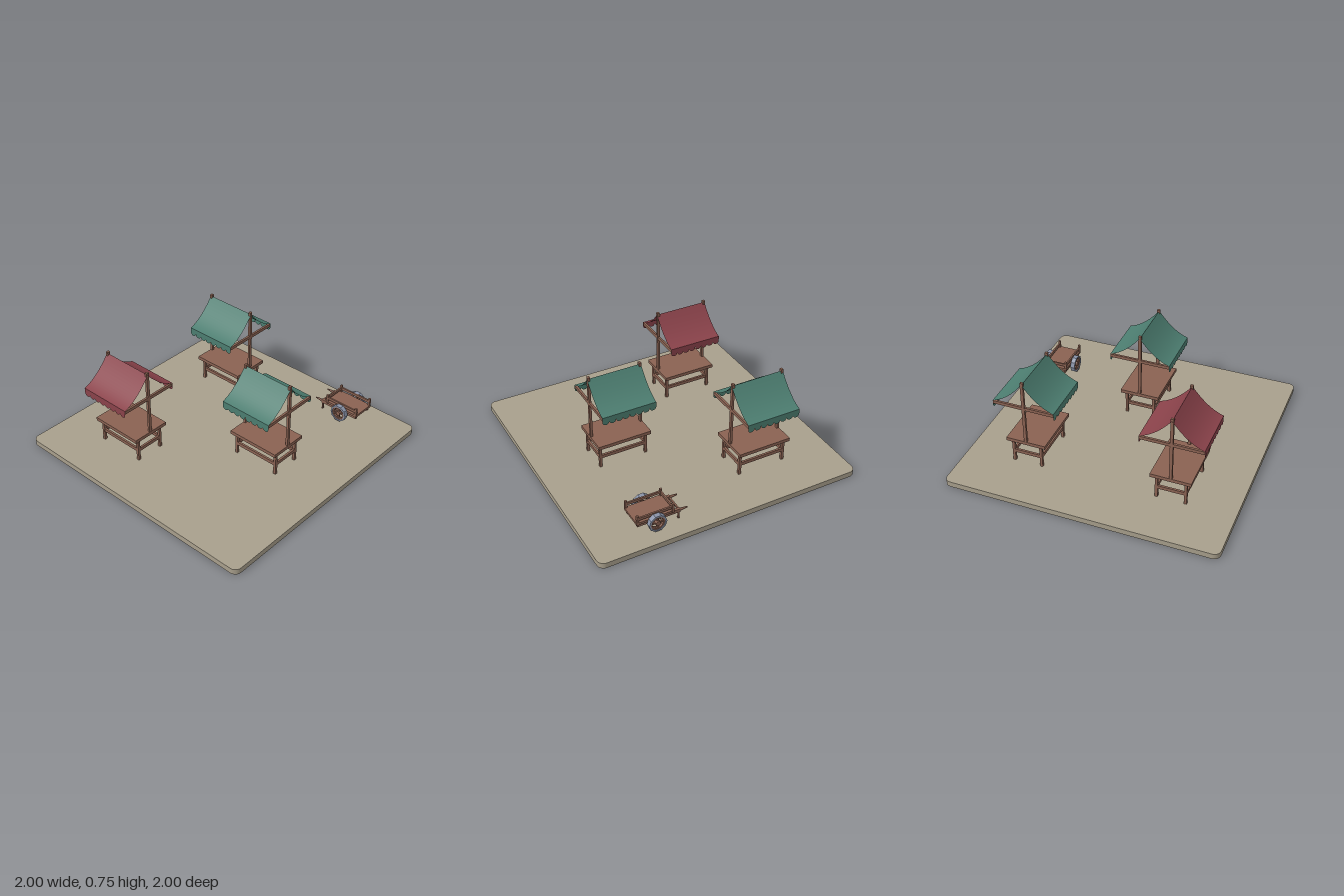
import * as THREE from 'three';

const mat = (color, side = THREE.FrontSide) => new THREE.MeshStandardMaterial({ color, side });
const wood = mat(0x8a6252);
const stone = mat(0xa89f8c);
const metal = mat(0x8a93a8);
const green = mat(0x4c7d70, THREE.DoubleSide);
const red = mat(0x8a424a, THREE.DoubleSide);

function add(parent, name, geometry, material, x = 0, y = 0, z = 0) {
  const mesh = new THREE.Mesh(geometry, material);
  mesh.name = name;
  mesh.position.set(x, y, z);
  parent.add(mesh);
  return mesh;
}

const box = (parent, name, w, h, d, x, y, z) =>
  add(parent, name, new THREE.BoxGeometry(w, h, d), wood, x, y, z);

// Square slab with rounded corners
function ground(parent) {
  const r = 0.05, e = 1 - r;
  const s = new THREE.Shape();
  s.absarc(e, e, r, 0, Math.PI / 2);
  s.absarc(-e, e, r, Math.PI / 2, Math.PI);
  s.absarc(-e, -e, r, Math.PI, Math.PI * 1.5);
  s.absarc(e, -e, r, Math.PI * 1.5, Math.PI * 2);
  const g = new THREE.ExtrudeGeometry(s, { depth: 0.042, bevelEnabled: false, curveSegments: 6 });
  add(parent, 'ground', g.rotateX(-Math.PI / 2), stone);
}

const EAVE = 0.228, HALF = 0.205, RIDGE_Y = 0.73, EAVE_Y = 0.547;

// One sagging cloth slope from ridge to eave
function clothSlope(side) {
  const g = new THREE.PlaneGeometry(1, HALF * 2, 14, 1).rotateX(-Math.PI / 2);
  const p = g.attributes.position;
  for (let i = 0; i < p.count; i++) {
    const x = p.getX(i) + 0.5;
    const t = side > 0 ? x : 1 - x;
    p.setX(i, side * t * EAVE);
    p.setY(i, THREE.MathUtils.lerp(RIDGE_Y, EAVE_Y, t) - 0.12 * t * (1 - t));
  }
  g.computeVertexNormals();
  return g;
}

// Hanging strip with a scalloped lower edge
function valance(side) {
  const count = 8, r = HALF / count, y = 0.511;
  const s = new THREE.Shape();
  s.moveTo(HALF, EAVE_Y);
  s.lineTo(-HALF, EAVE_Y);
  s.lineTo(-HALF, y);
  for (let i = 0; i < count; i++) s.absarc(-HALF + r * (2 * i + 1), y, r, Math.PI, Math.PI * 2, false);
  return new THREE.ShapeGeometry(s, 6).rotateY(side * Math.PI / 2).translate(side * EAVE, 0, 0);
}

function stall(parent, cloth, x, z) {
  const g = new THREE.Group();
  g.name = 'marketStall';
  g.position.set(x, 0, z);
  parent.add(g);
  box(g, 'tableTop', 0.296, 0.026, 0.41, 0, 0.232, 0);
  for (const s of [-1, 1]) {
    for (const t of [-1, 1]) box(g, 'tableLeg', 0.02, 0.18, 0.02, s * 0.105, 0.13, t * 0.178);
    box(g, 'sideStretcher', 0.016, 0.026, 0.34, s * 0.105, 0.127, 0);
    box(g, 'endStretcher', 0.195, 0.026, 0.016, 0, 0.127, s * 0.178);
    box(g, 'post', 0.022, 0.505, 0.018, 0, 0.4925, s * 0.195);
    box(g, 'crossArm', 0.455, 0.024, 0.016, 0, 0.531, s * 0.195);
    add(g, 'canopy', clothSlope(s), cloth);
    add(g, 'valance', valance(s), cloth);
  }
}

// Wheel lying in the xy plane, turned to face along x
function wheel(parent, x, y, z) {
  const g = new THREE.Group();
  g.name = 'wheel';
  g.position.set(x, y, z);
  g.rotation.y = Math.PI / 2;
  parent.add(g);
  const ring = (name, outer, inner, depth, material) => {
    const s = new THREE.Shape();
    const corner = (r, i) => [r * Math.cos(i * Math.PI / 5), r * Math.sin(i * Math.PI / 5)];
    const hole = new THREE.Path();
    for (let i = 0; i < 10; i++) {
      s[i ? 'lineTo' : 'moveTo'](...corner(outer, i));
      hole[i ? 'lineTo' : 'moveTo'](...corner(inner, -i));
    }
    s.holes.push(hole);
    const geo = new THREE.ExtrudeGeometry(s, { depth, bevelEnabled: false });
    add(g, name, geo.translate(0, 0, -depth / 2), material);
  };
  ring('tyre', 0.066, 0.054, 0.034, metal);
  ring('rim', 0.054, 0.042, 0.024, wood);
  for (let i = 0; i < 2; i++) {
    box(g, 'spoke', 0.09, 0.012, 0.012, 0, 0, 0).rotation.z = i * Math.PI / 2;
  }
  add(g, 'hub', new THREE.CylinderGeometry(0.018, 0.018, 0.034, 10).rotateX(Math.PI / 2), wood);
}

function cart(parent) {
  const g = new THREE.Group();
  g.name = 'handcart';
  g.position.set(0.785, 0, 0.535);
  parent.add(g);
  box(g, 'bed', 0.182, 0.018, 0.28, 0, 0.146, 0);
  const axle = new THREE.CylinderGeometry(0.009, 0.009, 0.23, 8).rotateZ(Math.PI / 2);
  add(g, 'axle', axle, wood, 0, 0.124, 0);
  for (const s of [-1, 1]) {
    for (const z of [-0.13, 0.13]) box(g, 'railPost', 0.016, 0.075, 0.016, s * 0.085, 0.174, z);
    box(g, 'sideRail', 0.012, 0.02, 0.264, s * 0.085, 0.184, 0);
    box(g, 'shaft', 0.02, 0.026, 0.32, s * 0.071, 0.125, -0.03);
    // Grip narrows towards its end
    const grip = new THREE.CylinderGeometry(0.005, 0.011, 0.06, 8).rotateX(-Math.PI / 2);
    add(g, 'grip', grip, wood, s * 0.071, 0.125, -0.216);
    box(g, 'restLeg', 0.011, 0.065, 0.011, s * 0.071, 0.09, -0.18);
    wheel(g, s * 0.111, 0.125, 0);
  }
  box(g, 'endRail', 0.16, 0.02, 0.012, 0, 0.184, -0.13);
  box(g, 'handleBar', 0.14, 0.012, 0.012, 0, 0.125, -0.185);
}

export function createModel() {
  const model = new THREE.Group();
  model.name = 'market';
  ground(model);
  stall(model, red, -0.535, -0.43);
  stall(model, green, 0.535, -0.43);
  stall(model, green, 0, 0.39);
  cart(model);
  return model;
}
